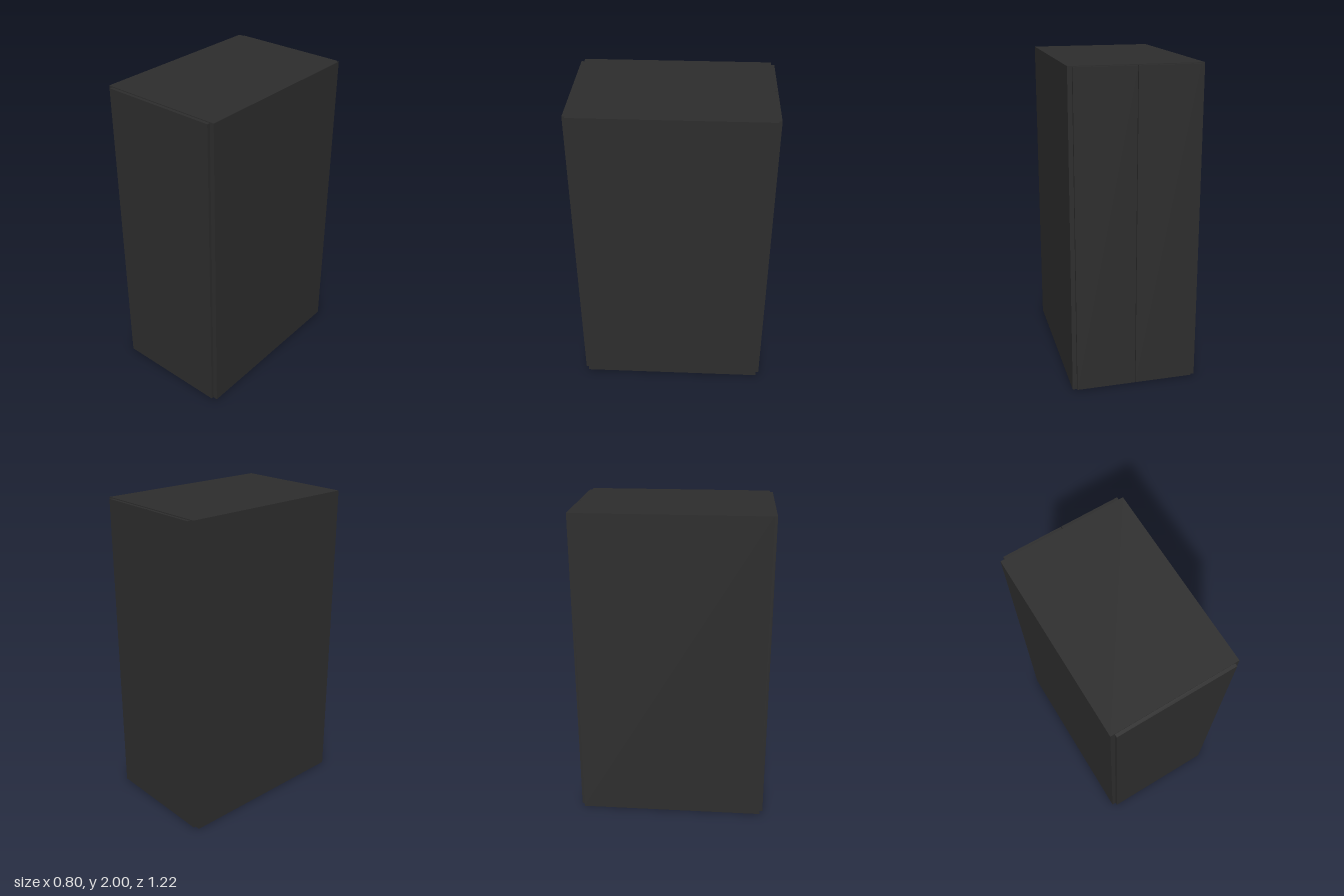
import * as THREE from 'three';

export function createModel() {
  const model = new THREE.Group();
  const charcoal = new THREE.MeshStandardMaterial({ color: 0x2d2d2d });
  charcoal.name = 'charcoal';

  const addBox = (name, width, height, depth, x, z) => {
    const mesh = new THREE.Mesh(new THREE.BoxGeometry(width, height, depth), charcoal);
    mesh.name = name;
    mesh.position.set(x, 1, z);
    model.add(mesh);
  };

  const bodyDepth = 1.18;
  const doorDepth = 0.02;
  const doorWidth = 0.746;
  const doorHeight = 1.99;
  const doorZ = (bodyDepth + doorDepth) / 2;
  const gap = 0.004;

  // Cabinet body
  addBox('cabinetBody', 0.8, 2, bodyDepth, 0, 0);

  // Single full-width door on the front
  addBox('frontDoor', doorWidth, doorHeight, doorDepth, 0, doorZ);

  // Split pair of doors on the back, with a narrow centre gap
  const leafWidth = (doorWidth - gap) / 2;
  for (const side of [-1, 1]) {
    addBox(side > 0 ? 'backDoorLeft' : 'backDoorRight', leafWidth, doorHeight, doorDepth,
      side * (gap + leafWidth) / 2, -doorZ);
  }

  return model;
}
